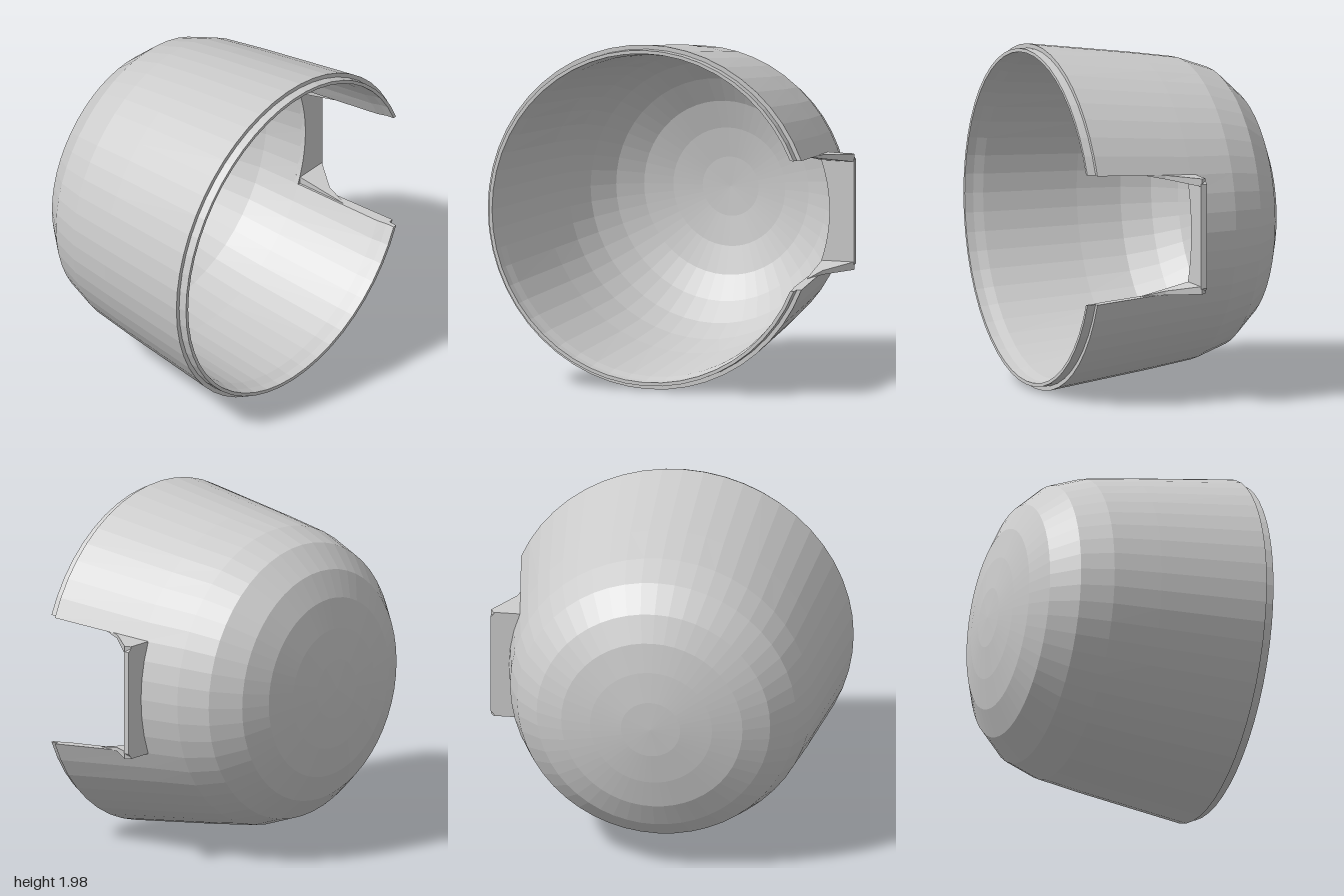
import * as THREE from 'three';

const NOTCH_Z = 0.03;          // back end of the notch
const MAIN = 46, GAP = 6;      // columns around the wall / across the notch

// half height of the notch at depth z
const notchHalf = (z) => 0.33 + 0.068 * (z - NOTCH_Z);

// [radius, z] from the pole to the lip
const inner = [[0, -0.655], [0.17, -0.648], [0.34, -0.625], [0.5, -0.58], [0.64, -0.5], [0.75, -0.38],
  [0.82, -0.22], [0.865, NOTCH_Z], [0.925, 0.58], [0.94, 0.635], [0.945, 0.685]];
const outer = [[0, -0.695], [0.17, -0.688], [0.35, -0.665], [0.52, -0.63], [0.67, -0.56], [0.8, -0.42],
  [0.865, -0.24], [0.907, NOTCH_Z], [0.99, 0.635], [0.965, 0.635], [0.965, 0.685]];

// point of the wall at column k; the columns follow the notch edges
function wallPoint([r, z], k) {
  const a = z >= NOTCH_Z ? Math.asin(notchHalf(z) / r) : 0.38;
  const t = k <= MAIN
    ? a + (k / MAIN) * (2 * Math.PI - 2 * a)
    : -a + ((k - MAIN) / GAP) * 2 * a;
  return [r * Math.cos(t), r * Math.sin(t), z];
}

function makeShell() {
  const pos = [];
  const quad = (a, b, c, d) => {
    for (const tri of [[a, b, c], [a, c, d]]) {
      const [p, q, r] = tri.map((v) => new THREE.Vector3(...v));
      if (q.sub(p).cross(r.sub(p)).length() > 1e-9) pos.push(...tri.flat());
    }
  };
  const band = (p, q, k) =>
    quad(wallPoint(p, k), wallPoint(q, k), wallPoint(q, k + 1), wallPoint(p, k + 1));

  // inner surface, lip and outer surface
  const loop = [...inner, ...outer.slice().reverse()];
  for (let i = 0; i < loop.length - 1; i++) {
    const inFront = Math.max(loop[i][1], loop[i + 1][1]) > NOTCH_Z;
    for (let k = 0; k < (inFront ? MAIN : MAIN + GAP); k++) band(loop[i], loop[i + 1], k);
  }
  // cut faces of the notch: back edge and two sides
  const first = 7;
  for (let k = MAIN; k < MAIN + GAP; k++) band(inner[first], outer[first], k);
  for (let i = first; i < inner.length - 1; i++) {
    for (const k of [0, MAIN]) {
      const c = [inner[i], inner[i + 1], outer[i + 1], outer[i]].map((p) => wallPoint(p, k));
      if (k === 0) c.reverse();
      quad(...c.reverse());
    }
  }
  const g = new THREE.BufferGeometry();
  g.setAttribute('position', new THREE.Float32BufferAttribute(pos, 3));
  g.computeVertexNormals();
  return g;
}

// flange behind the notch, curved along the wall on its inner edge
function makeFlange() {
  const a = Math.asin(0.33 / 0.86);
  const s = new THREE.Shape();
  s.moveTo(0.86 * Math.cos(a), -0.33);
  s.lineTo(0.98, -0.33);
  s.lineTo(1.01, -0.3);
  s.lineTo(1.01, 0.3);
  s.lineTo(0.98, 0.33);
  s.lineTo(0.86 * Math.cos(a), 0.33);
  s.absarc(0, 0, 0.86, a, -a, true);
  return new THREE.ExtrudeGeometry(s, { depth: 0.035, bevelEnabled: false, curveSegments: 8 });
}

// side web joining flange and wall, thinning out towards the front
function makeGusset() {
  const s = new THREE.Shape([[0.81, 0], [0.99, 0], [1.01, 0.03], [0.88, 0.2], [0.84, 0.36]]
    .map((p) => new THREE.Vector2(...p)));
  const g = new THREE.ExtrudeGeometry(s, { depth: 1, bevelEnabled: false });
  g.rotateX(Math.PI / 2);
  const p = g.attributes.position;
  for (let i = 0; i < p.count; i++) {
    const z = p.getZ(i);
    const thickness = 0.05 * (1 - z / 0.37);
    p.setY(i, notchHalf(z) + 0.003 + p.getY(i) * thickness);
  }
  g.computeVertexNormals();
  return g;
}

export function createModel() {
  const model = new THREE.Group();
  model.name = 'notchedCup';
  const material = new THREE.MeshStandardMaterial({
    color: 0xcccccc, flatShading: true, side: THREE.DoubleSide,
  });
  const add = (name, geometry) => {
    const mesh = new THREE.Mesh(geometry, material);
    mesh.name = name;
    mesh.position.set(-0.01, 0.997, 0);
    model.add(mesh);
    return mesh;
  };
  add('shell', makeShell());
  add('notchFlange', makeFlange());
  add('upperGusset', makeGusset());
  add('lowerGusset', makeGusset()).scale.y = -1;
  return model;
}
